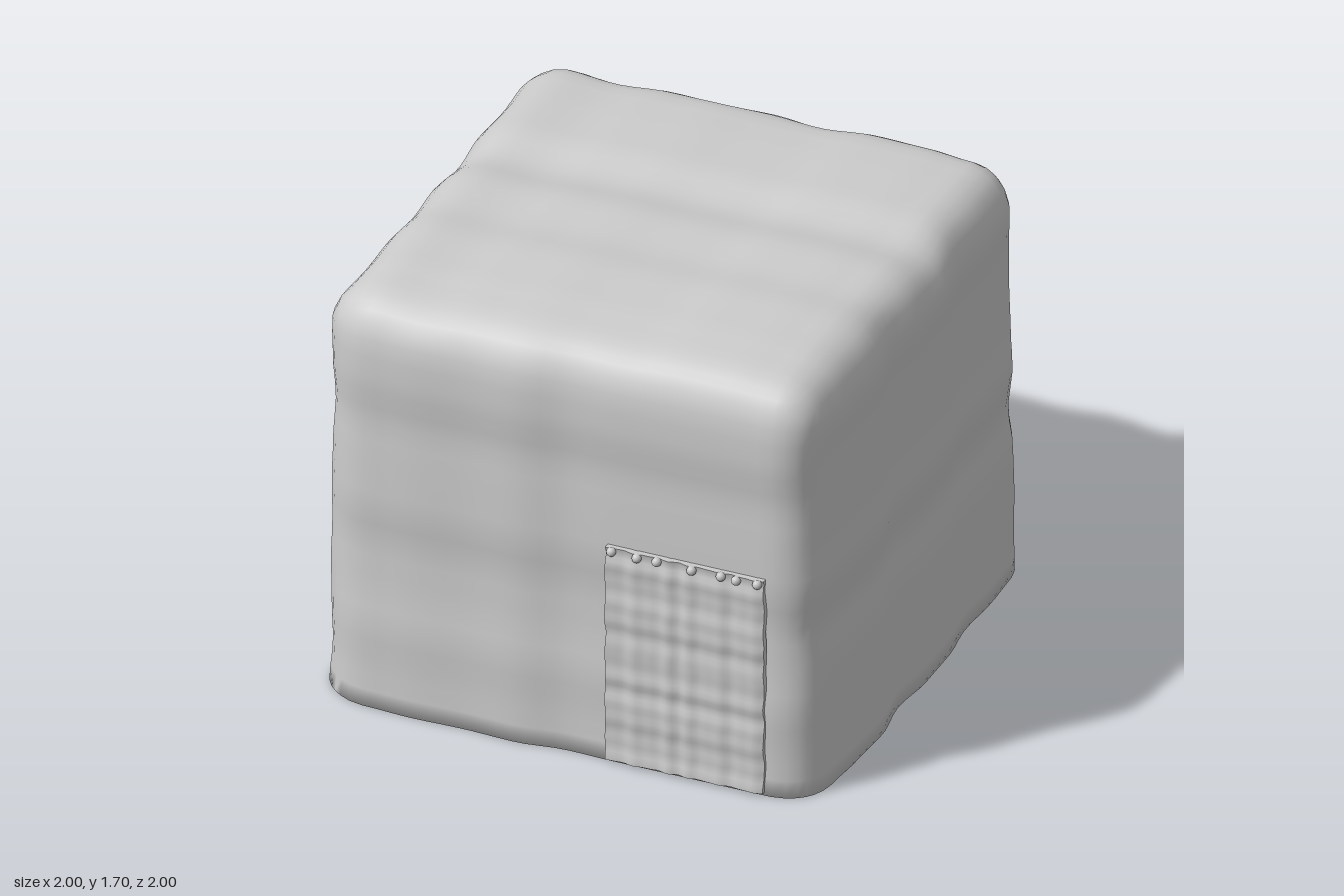
import * as THREE from 'three';
import { mergeVertices } from 'three/addons/utils/BufferGeometryUtils.js';

const material = new THREE.MeshStandardMaterial({ color: 0xcccccc, roughness: 0.9 });

// Smoothly blended waviness; keys are hundredths spread evenly over t = 0..1
function wave(keys, t) {
  const f = THREE.MathUtils.clamp(t, 0, 1) * (keys.length - 1);
  const i = Math.min(Math.floor(f), keys.length - 2);
  const k = (1 - Math.cos((f - i) * Math.PI)) / 2;
  return (keys[i] * (1 - k) + keys[i + 1] * k) / 100;
}

// Unevenness of each wall: along its height and along its width
const walls = {
  front: { up: [1, 0.5, 1, -0.5, -1, 0.5, 0, -0.7, 1, 0.5, 0], along: [0, 0.5, 1.5, 1, 1.8, -0.5, 0, 0, 0, 0, 0] },
  back: { up: [2, 0, 1, 1, 0.5, -0.5, 0.5, 0, -1, -1, 0], along: [0, 0.5, -1.5, 1.5, -0.5, 2.2, -2, 2.3, 1, -1, -1] },
  right: { up: [1.5, 1.5, 1.5, 1, -1, 1, 0, -0.5, -0.5, 0, 0], along: [0, -0.5, 0, -1, 1, 1, -1, 1.5, 0.5, -1, 0] },
  left: { up: [2.5, 1, 1.5, 2, 1.5, 1.5, 1, 0, 1, 1.5, 0], along: [0, 1, -0.5, 0.5, -0.7, 0.7, -0.5, 0.5, 0, 1.5, 0] },
};
const roofAcross = [0, 1, 0, 1, 1.5, 1, 1, 2, 2, 1, 0];
const roofAlong = [0, 1, 1.5, 1.5, -1.5, 1, 0.5, 2, 1.5, 0, 0];

// Plastered block: flat base, rounded corners and roof edge, wavy faces
function makeBlock() {
  const hx = 0.96, hz = 0.953, height = 1.665, r = 0.17;
  let geo = new THREE.BoxGeometry(2 * hx, height, 2 * hz, 36, 24, 36);
  geo.translate(0, height / 2, 0);
  geo.deleteAttribute('normal');
  geo.deleteAttribute('uv');
  geo = mergeVertices(geo, 1e-4);
  const pos = geo.attributes.position;
  const p = new THREE.Vector3(), core = new THREE.Vector3(), d = new THREE.Vector3();
  for (let i = 0; i < pos.count; i++) {
    p.fromBufferAttribute(pos, i);
    core.set(
      THREE.MathUtils.clamp(p.x, r - hx, hx - r),
      Math.min(p.y, height - r),
      THREE.MathUtils.clamp(p.z, r - hz, hz - r)
    );
    d.subVectors(p, core);
    const len = d.length();
    if (len > 1e-6) {
      d.multiplyScalar(Math.max(Math.abs(d.x), Math.abs(d.y), Math.abs(d.z)) / len);
      p.addVectors(core, d);
      d.divideScalar(r);
      const tx = (p.x + 1) / 2, ty = p.y / 1.7, tz = (p.z + 1) / 2;
      const sideX = d.x > 0 ? walls.right : walls.left;
      const sideZ = d.z > 0 ? walls.front : walls.back;
      p.x += d.x * (wave(sideX.up, ty) + wave(sideX.along, tz));
      p.z += d.z * (wave(sideZ.up, ty) + wave(sideZ.along, tx));
      p.y += d.y * (wave(roofAcross, tx) + wave(roofAlong, tz));
    }
    pos.setXYZ(i, p.x, p.y, p.z);
  }
  geo.computeVertexNormals();
  const block = new THREE.Mesh(geo, material);
  block.name = 'plasteredWalls';
  return block;
}

// Crumpled cloth hung from a row of round pegs, facing +z, hanging from y = 0
function makeCurtain(name, width, height, pegs) {
  const curtain = new THREE.Group();
  curtain.name = name;
  const geo = new THREE.BoxGeometry(width, height, 0.026, 40, 48, 1);
  geo.translate(0, -height / 2, 0);
  const pos = geo.attributes.position;
  for (let i = 0; i < pos.count; i++) {
    const x = pos.getX(i), y = pos.getY(i);
    const folds = 0.0035 * Math.sin(x * 58 + Math.sin(x * 17)) + 0.002 * Math.sin(x * 91 + 1);
    const creases = 0.0035 * Math.sin(y * 43 + 1.5 * Math.sin(y * 13)) + 0.002 * Math.sin(y * 77);
    pos.setX(i, x + 0.002 * Math.sin(y * 38) * Math.sign(x));
    pos.setZ(i, pos.getZ(i) + folds + creases);
  }
  geo.computeVertexNormals();
  const cloth = new THREE.Mesh(geo, material);
  cloth.name = name + 'Cloth';
  curtain.add(cloth);

  const ball = new THREE.SphereGeometry(0.018, 16, 12);
  pegs.forEach((x, i) => {
    const peg = new THREE.Mesh(ball, material);
    peg.name = name + 'Peg' + (i + 1);
    peg.position.set(x, -0.013 - 0.003 * (i % 2), 0.016);
    curtain.add(peg);
  });
  return curtain;
}

export function createModel() {
  const model = new THREE.Group();
  model.name = 'adobeHouse';
  model.add(makeBlock());

  // Doorway curtain on the front
  const door = makeCurtain('doorCurtain', 0.62, 0.885, [-0.285, -0.185, -0.107, 0.03, 0.145, 0.205, 0.288]);
  door.position.set(0.467, 0.9, 0.967);
  model.add(door);

  // Window curtain on the side wall at -x
  const win = makeCurtain('windowCurtain', 0.5, 0.5, [-0.23, -0.12, -0.02, 0.1, 0.23]);
  win.rotation.y = -Math.PI / 2;
  win.position.set(-0.973, 1.23, -0.075);
  model.add(win);

  return model;
}
